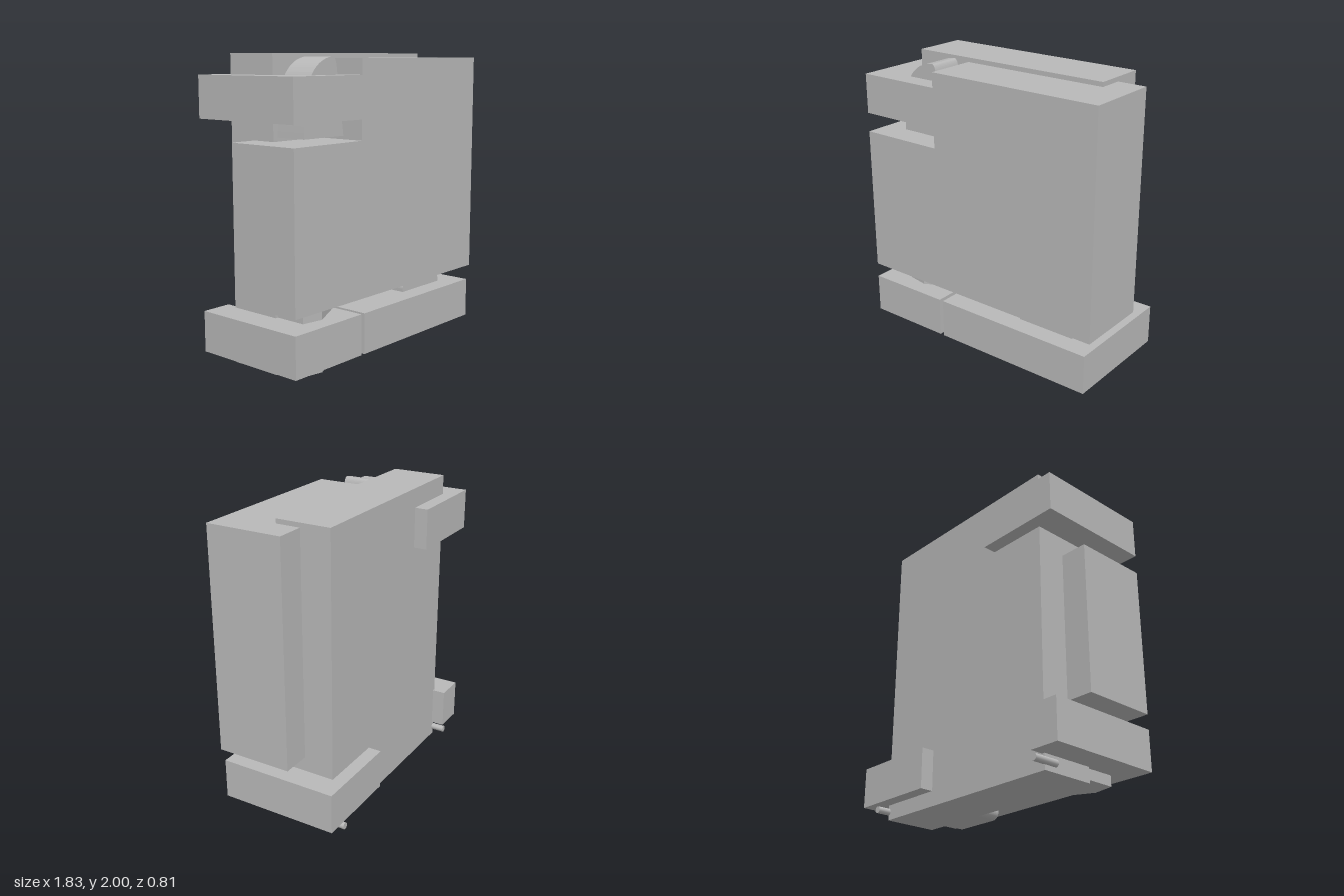
import * as THREE from 'three';

export function createModel() {
  const model = new THREE.Group();
  const grey = new THREE.MeshStandardMaterial({ color: 0xb8b8b8 });
  grey.name = 'plain grey';

  const add = (name, geometry) => {
    const mesh = new THREE.Mesh(geometry, grey);
    mesh.name = name;
    model.add(mesh);
    return mesh;
  };

  // Box given by its limits on each axis
  const block = (name, [x0, x1], [y0, y1], [z0, z1]) =>
    add(name, new THREE.BoxGeometry(x1 - x0, y1 - y0, z1 - z0))
      .position.set((x0 + x1) / 2, (y0 + y1) / 2, (z0 + z1) / 2);

  // Outline in x and y pushed out from z0 to z1
  const plate = (name, shape, z0, z1) =>
    add(name, new THREE.ExtrudeGeometry(shape, { depth: z1 - z0, bevelEnabled: false, curveSegments: 12 }))
      .position.set(0, 0, z0);

  const outline = (points) => new THREE.Shape(points.map(([x, y]) => new THREE.Vector2(x, y)));

  const back = -0.315, face = 0.055, front = 0.405, rear = -0.405;

  // Main slab
  block('body', [-0.73, 0.72], [0, 2], [back, face]);

  // Thick front cover with a notch at its upper corner
  plate('frontCover', outline([
    [-0.915, 0.47], [0.915, 0.47], [0.915, 1.97], [-0.315, 1.97], [-0.315, 1.47], [-0.915, 1.47],
  ]), -0.11, front);

  // Clamp blocks that reach around the slab
  block('upperClamp', [-0.915, -0.315], [1.6, 1.87], [rear, front]);
  const low = [0.1, 0.37];
  block('lowerRightClamp', [-0.915, -0.315], low, [back, front]);
  block('lowerRightClampHook', [-0.915, -0.71], low, [rear, back]);
  block('lowerLeftClamp', [-0.285, 0.88], low, [back, front]);
  block('lowerLeftClampHook', [0.265, 0.88], low, [rear, back]);

  // Upper lug with a curved crown
  const lug = outline([[-0.695, 1.495], [-0.34, 1.495], [-0.395, 1.87]]);
  lug.bezierCurveTo(-0.4, 1.93, -0.41, 1.98, -0.435, 1.98);
  lug.bezierCurveTo(-0.53, 1.975, -0.6, 1.92, -0.632, 1.86);
  lug.quadraticCurveTo(-0.68, 1.74, -0.695, 1.495);
  plate('upperLug', lug, face, 0.275);

  // Lower lug with rounded corners
  const x0 = 0.285, x1 = 0.7, y0 = 0.03, y1 = 0.44, r = 0.05;
  const pad = new THREE.Shape();
  pad.absarc(x1 - r, y0 + r, r, -Math.PI / 2, 0);
  pad.absarc(x1 - r, y1 - r, r, 0, Math.PI / 2);
  pad.absarc(x0 + r, y1 - r, r, Math.PI / 2, Math.PI);
  pad.absarc(x0 + r, y0 + r, r, Math.PI, Math.PI * 1.5);
  plate('roundedLug', pad, face, 0.275);

  // Sloped lug, drawn from above and raised along y
  const wedge = new THREE.ExtrudeGeometry(outline([
    [-0.1, -face], [-0.565, -0.295], [-0.71, -0.27], [-0.71, -face],
  ]), { depth: 0.41, bevelEnabled: false });
  wedge.rotateX(-Math.PI / 2);
  add('slopedLug', wedge).position.y = 0.03;

  // Small pins at the bottom edges
  for (const [name, x] of [['rightPin', -0.73], ['leftPin', 0.72]]) {
    const pin = add(name, new THREE.CylinderGeometry(0.023, 0.023, 0.18, 12));
    pin.rotation.x = Math.PI / 2;
    pin.position.set(x, 0.056, -0.315);
  }

  return model;
}
